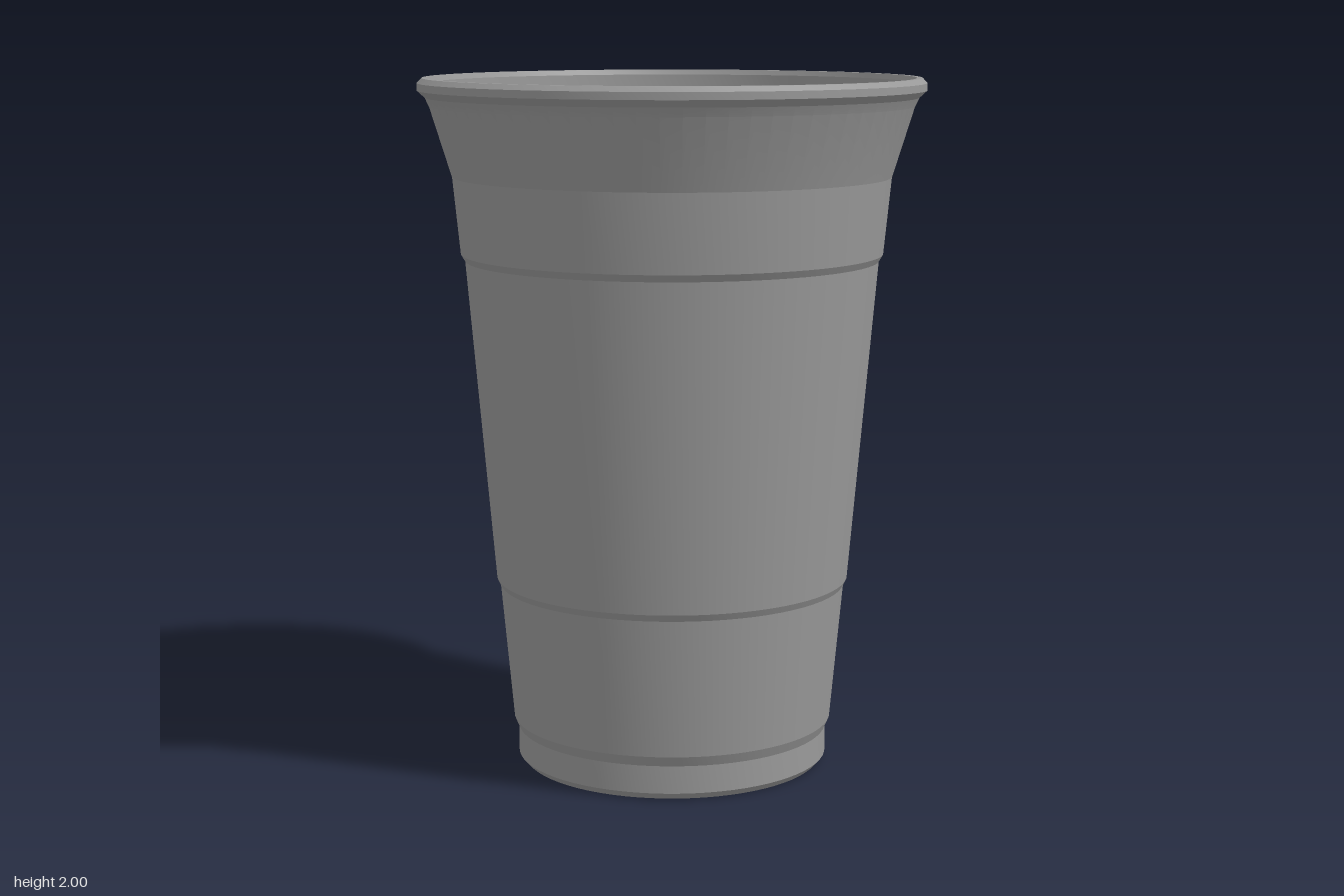
import * as THREE from 'three';
import { toCreasedNormals } from 'three/addons/utils/BufferGeometryUtils.js';

const SEGMENTS = 72;
const WALL = 0.015;

export function createModel() {
  const group = new THREE.Group();
  group.name = 'cup';

  const plastic = new THREE.MeshStandardMaterial({ color: 0x999999 });
  plastic.name = 'grey plastic';

  // Outer wall from the foot up: two stepped ridges, then the flared mouth
  const wall = [
    [0.455, 0.02], [0.455, 0.1], [0.468, 0.13],
    [0.505, 0.53], [0.515, 0.55],
    [0.596, 1.48], [0.608, 1.5],
    [0.63, 1.72], [0.692, 1.92], [0.704, 1.945],
  ];
  // Rolled rim
  const rim = [[0.726, 1.965], [0.726, 1.986], [0.712, 2], [0.696, 2], [0.69, 1.985]];
  // Inner wall follows the outer one at the wall thickness
  const inside = wall.slice(1).reverse().map(([r, y]) => [r - WALL, y]);

  const profile = [
    [0, 0], [0.437, 0],
    ...wall, ...rim, ...inside,
    [0.438, 0.04], [0.418, 0.02], [0, 0.02],
  ].map(([r, y]) => new THREE.Vector2(r, y));

  const body = new THREE.Mesh(
    toCreasedNormals(new THREE.LatheGeometry(profile, SEGMENTS), 0.16),
    plastic,
  );
  body.name = 'cupBody';
  group.add(body);
  return group;
}
